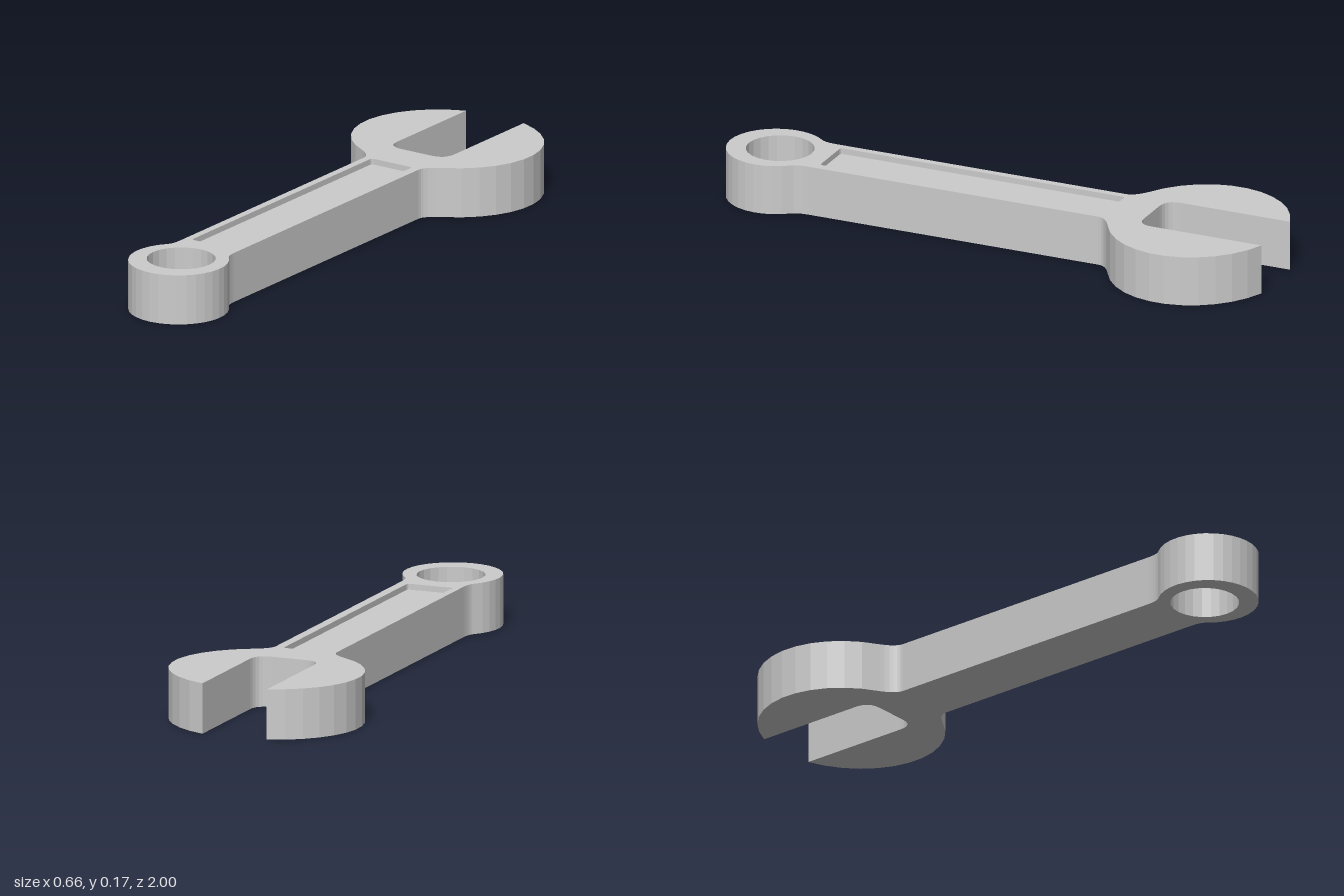
import * as THREE from 'three';

const HEIGHT = 0.172, DEPTH = 0.02, SEGMENTS = 6;
const RING_X = -0.004;

// Plan outline, drawn with the open jaw towards +y (which becomes -z).
function outline() {
  const s = new THREE.Shape();
  const head = (from, to) => s.absellipse(0, 0.72, 0.333, 0.298, from, to, false, 0);
  const ring = (from, to) => s.absarc(RING_X, -0.832, 0.168, from, to, false);
  s.moveTo(0.107, 0.40);
  s.quadraticCurveTo(0.107, 0.43, 0.165, 0.461);
  // right jaw, slot with rounded corners, left jaw
  head(-1.053, 1.228);
  s.lineTo(0.112, 0.60);
  s.quadraticCurveTo(0.112, 0.545, 0.057, 0.545);
  s.lineTo(-0.065, 0.545);
  s.quadraticCurveTo(-0.12, 0.545, -0.12, 0.60);
  head(1.939, 4.195);
  // left of the handle, ring end, right of the handle
  s.quadraticCurveTo(-0.115, 0.43, -0.115, 0.40);
  s.lineTo(-0.115, -0.66);
  s.quadraticCurveTo(-0.115, -0.704, -0.129, -0.72);
  ring(2.41, 1.5 * Math.PI);
  ring(1.5 * Math.PI, 2 * Math.PI + 0.731);
  s.quadraticCurveTo(0.107, -0.704, 0.107, -0.66);
  s.closePath();

  // round hole in the ring end
  const hole = new THREE.Path();
  hole.absarc(RING_X, -0.817, 0.115, 0, -Math.PI, true);
  hole.absarc(RING_X, -0.817, 0.115, -Math.PI, -2 * Math.PI, true);
  s.holes.push(hole);
  return s;
}

// Rounded rectangle of the recessed panel.
function panel() {
  const x0 = -0.089, x1 = 0.075, y0 = -0.635, y1 = 0.407, r = 0.012;
  const s = new THREE.Shape();
  s.moveTo(x0 + r, y0);
  s.lineTo(x1 - r, y0);
  s.quadraticCurveTo(x1, y0, x1, y0 + r);
  s.lineTo(x1, y1 - r);
  s.quadraticCurveTo(x1, y1, x1 - r, y1);
  s.lineTo(x0 + r, y1);
  s.quadraticCurveTo(x0, y1, x0, y1 - r);
  s.lineTo(x0, y0 + r);
  s.quadraticCurveTo(x0, y0, x0 + r, y0);
  return s;
}

// Extrusion without its upper cap, so the panel can be sunk into it.
function openTop(shape, depth) {
  const g = new THREE.ExtrudeGeometry(shape, { depth, bevelEnabled: false, curveSegments: SEGMENTS });
  const caps = g.groups[0].count, total = g.attributes.position.count;
  const keep = [];
  for (let i = 0; i < total; i++) if (i < caps / 2 || i >= caps) keep.push(i);
  g.clearGroups();
  g.setIndex(keep);
  return g.toNonIndexed();
}

export function createModel() {
  const group = new THREE.Group();
  group.name = 'wrench';
  const grey = new THREE.MeshStandardMaterial({ color: 0xcccccc });
  const thin = new THREE.MeshStandardMaterial({ color: 0xcccccc, side: THREE.DoubleSide });

  const add = (name, geometry, material, y) => {
    geometry.rotateX(-Math.PI / 2);
    const mesh = new THREE.Mesh(geometry, material);
    mesh.name = name;
    mesh.position.y = y;
    group.add(mesh);
  };

  // underside and all outer walls
  add('body', openTop(outline(), HEIGHT), grey, 0);

  // top face, cut out around the panel
  const top = outline();
  top.holes.push(panel());
  add('topFace', new THREE.ShapeGeometry(top, SEGMENTS), grey, HEIGHT);

  // recessed tray: floor and walls
  add('recessedPanel', openTop(panel(), DEPTH), thin, HEIGHT - DEPTH);

  return group;
}
